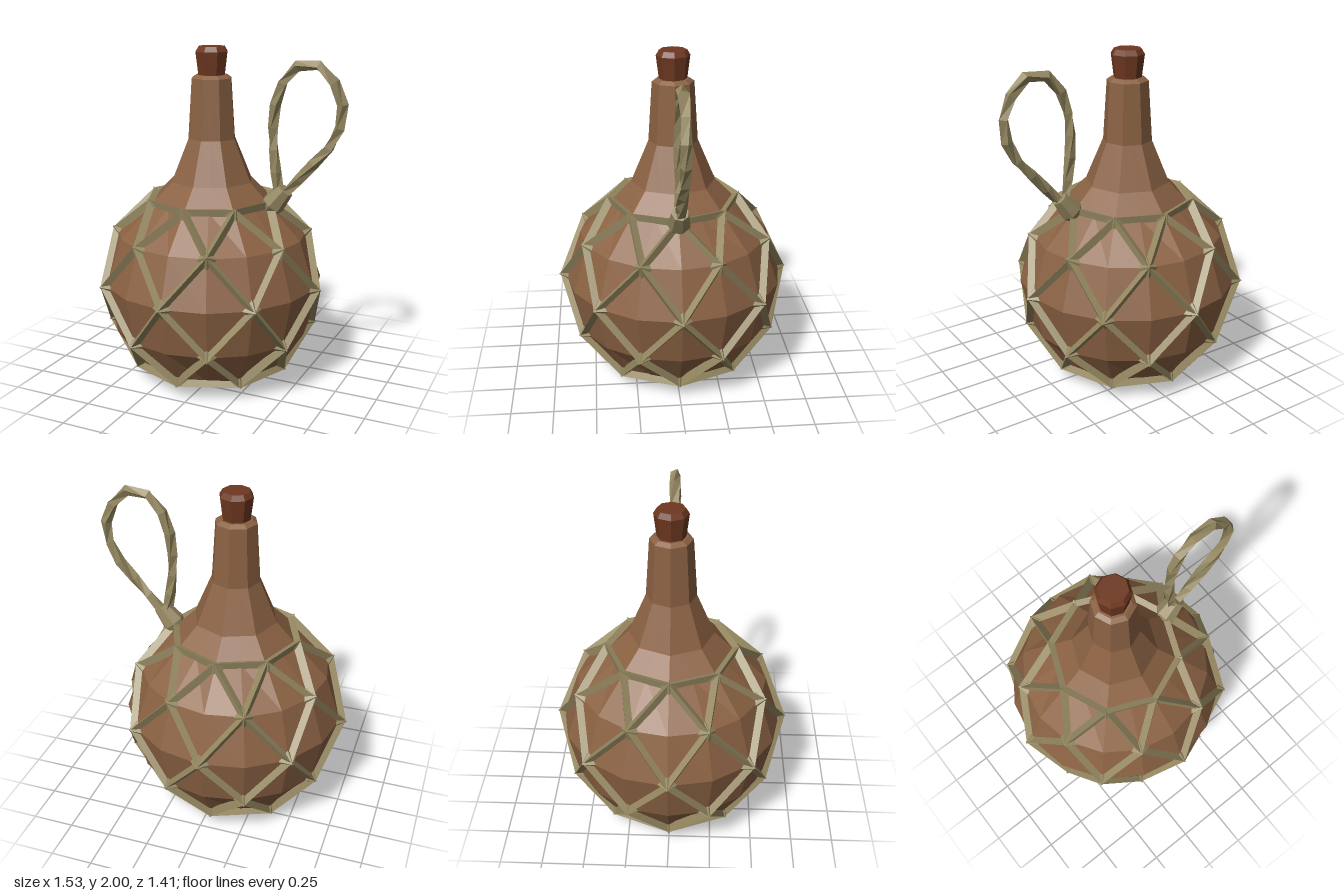
import * as THREE from 'three';

const mat = (name, color) => {
  const m = new THREE.MeshStandardMaterial({ color, flatShading: true });
  m.name = name;
  return m;
};
const V = (x, y, z) => new THREE.Vector3(x, y, z);
const lathe = (pts, sides) => new THREE.LatheGeometry(pts.map(p => new THREE.Vector2(p[0], p[1])), sides);

// net rows: height, body radius, upward tilt of the surface, half-step offset
const ROWS = [
  { y: 0.10, r: 0.455, tilt: -0.55, half: 0, up: 0.06, down: 0.025 },
  { y: 0.33, r: 0.60, tilt: -0.30, half: 0.5, up: 0.06, down: 0.06 },
  { y: 0.62, r: 0.66, tilt: 0, half: 0, up: 0.06, down: 0.06 },
  { y: 0.90, r: 0.565, tilt: 0.52, half: 0.5, up: 0.06, down: 0.06 },
  { y: 1.10, r: 0.37, tilt: 0.85, half: 0, up: 0.025, down: 0.06 },
];
const angle = (row, i) => (i + row.half) * Math.PI / 4;
const knotPos = (row, i) => V(row.r * Math.sin(angle(row, i)), row.y, row.r * Math.cos(angle(row, i)));
const knotOut = (row, i) =>
  V(Math.sin(angle(row, i)) * Math.cos(row.tilt), Math.sin(row.tilt), Math.cos(angle(row, i)) * Math.cos(row.tilt));

// four-faced pyramid pointing along +z
function knotGeometry(up, down) {
  const w = 0.058, b = -0.012, tip = [0, 0, 0.045];
  const ring = [[w, 0, b], [0, up, b], [-w, 0, b], [0, -down, b]];
  const pos = [];
  ring.forEach((p, k) => pos.push(...p, ...ring[(k + 1) % 4], ...tip));
  const g = new THREE.BufferGeometry();
  g.setAttribute('position', new THREE.Float32BufferAttribute(pos, 3));
  g.computeVertexNormals();
  return g;
}

// three-sided cord between two points, ridge facing outward
function cord(a, b, out, material) {
  const dir = b.clone().sub(a);
  const mesh = new THREE.Mesh(new THREE.CylinderGeometry(0.028, 0.028, dir.length(), 3, 1, true), material);
  dir.normalize();
  const side = V().crossVectors(dir, out).normalize();
  const face = V().crossVectors(side, dir);
  mesh.quaternion.setFromRotationMatrix(new THREE.Matrix4().makeBasis(side, dir, face));
  mesh.position.copy(a).add(b).multiplyScalar(0.5).addScaledVector(face, 0.008);
  mesh.name = 'netCord';
  return mesh;
}

export function createModel() {
  const leather = mat('brown body', 0x8b6243);
  const rope = mat('pale rope', 0x958861);
  const stopper = mat('red brown cork', 0x6e3820);

  const model = new THREE.Group();
  model.name = 'corkedFlask';
  const bottle = new THREE.Group();
  bottle.name = 'bottle';
  bottle.position.x = -0.06;
  model.add(bottle);

  // body: sixteen sides at the belly, eight at the base and neck
  const bodyGeo = lathe([[0, 0], [0.245, 0], ...ROWS.map(r => [r.r, r.y]),
    [0.25, 1.22], [0.145, 1.47], [0.122, 1.82], [0.095, 1.838], [0, 1.838]], 16);
  const p = bodyGeo.attributes.position;
  const perRing = p.count / 17;
  for (let i = 0; i < p.count; i++) {
    const odd = Math.floor(i / perRing) % 2 === 1;
    if (odd && (p.getY(i) < 0.2 || p.getY(i) > 1)) {
      const k = Math.cos(Math.PI / 8);
      p.setX(i, p.getX(i) * k);
      p.setZ(i, p.getZ(i) * k);
    }
  }
  const body = new THREE.Mesh(bodyGeo, leather);
  body.name = 'body';
  bottle.add(body);

  // cork
  const cork = new THREE.Mesh(lathe([[0.078, 1.81], [0.098, 1.97], [0.08, 2.0], [0, 2.0]], 8), stopper);
  cork.name = 'cork';
  bottle.add(cork);

  // net of knots and cords
  const net = new THREE.Group();
  net.name = 'ropeNet';
  bottle.add(net);
  ROWS.forEach((row, j) => {
    const geo = knotGeometry(row.up, row.down);
    const next = ROWS[j + 1];
    for (let i = 0; i < 8; i++) {
      const a = knotPos(row, i), out = knotOut(row, i);
      const knot = new THREE.Mesh(geo, rope);
      knot.name = 'netKnot';
      knot.position.copy(a);
      knot.lookAt(a.clone().add(out));
      net.add(knot);
      const link = (r2, k) => net.add(cord(a, knotPos(r2, k), out.clone().add(knotOut(r2, k)), rope));
      if (next) {
        const first = row.half ? i : i - 1;
        link(next, first);
        link(next, first + 1);
      }
      if (j === 0 || j === ROWS.length - 1) link(row, i + 1);
    }
  });

  // twisted carrying loop
  const curve = new THREE.CatmullRomCurve3([
    [0.37, 1.17], [0.345, 1.32], [0.325, 1.55], [0.36, 1.77], [0.45, 1.90], [0.57, 1.925],
    [0.68, 1.83], [0.735, 1.68], [0.685, 1.50], [0.55, 1.34], [0.40, 1.17],
  ].map(q => V(q[0], q[1], 0)));
  const SEG = 14, RAD = 4;
  const loopGeo = new THREE.TubeGeometry(curve, SEG, 0.032, RAD);
  const lp = loopGeo.attributes.position;
  for (let i = 0; i < lp.count; i++) {
    const u = Math.floor(i / (RAD + 1));
    const c = curve.getPointAt(u / SEG);
    const v = V().fromBufferAttribute(lp, i).sub(c).applyAxisAngle(curve.getTangentAt(u / SEG), u * 0.5).add(c);
    lp.setXYZ(i, v.x, v.y, v.z);
  }
  const loop = new THREE.Mesh(loopGeo, rope);
  loop.name = 'carryLoop';
  model.add(loop);

  // binding where the loop joins the net
  const binding = new THREE.Mesh(
    lathe([[0, -0.09], [0.045, -0.09], [0.07, -0.035], [0.05, 0.085], [0, 0.085]], 7), rope);
  binding.name = 'loopBinding';
  binding.position.set(0.355, 1.135, 0);
  binding.rotation.z = -0.68;
  model.add(binding);

  return model;
}
